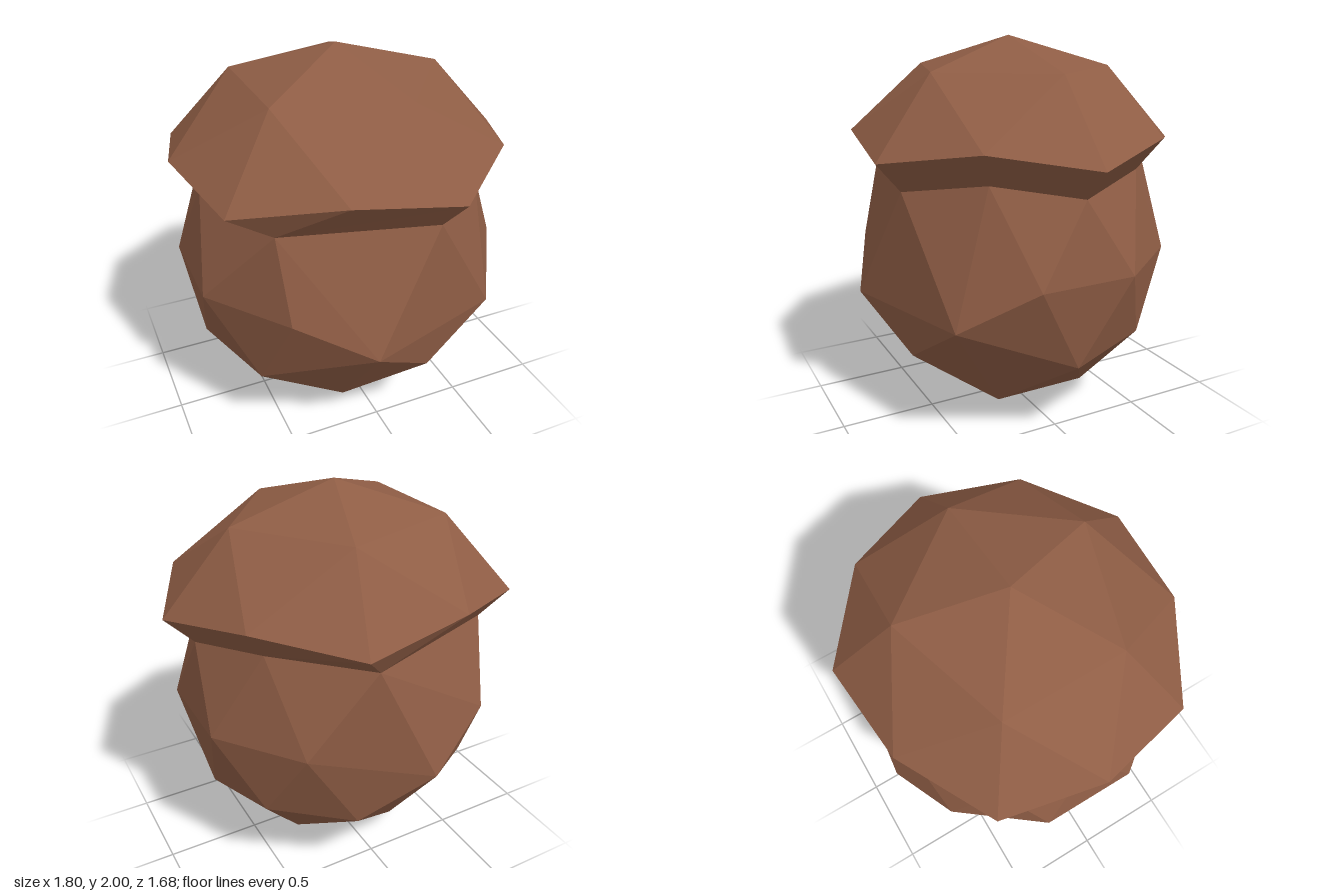
import * as THREE from 'three';

const OFFSET_X = -0.03; // the poles sit slightly off centre
const DEPTH = 0.949;    // slightly flattened front to back
const STEP = 36;

// Point on an elliptical ring; angles run from +x towards +z
function ringPoint(angle, radius, y) {
  const a = THREE.MathUtils.degToRad(angle);
  return new THREE.Vector3(OFFSET_X + radius * Math.cos(a), y, DEPTH * radius * Math.sin(a));
}

// Returns a lookup by angle; "even" angles are multiples of 72, moved holds welded corners
function ring(even, odd, moved = {}) {
  return (angle) => {
    const a = ((angle % 360) + 360) % 360;
    if (moved[a]) return moved[a];
    return ringPoint(a, ...(a % 72 === 0 ? even : odd));
  };
}

// Flat-shaded mesh from triangles, dropping those collapsed by welded corners
function facetMesh(name, triangles, material) {
  const points = triangles
    .filter(([a, b, c]) => !a.equals(b) && !b.equals(c) && !c.equals(a))
    .flat();
  const geometry = new THREE.BufferGeometry().setFromPoints(points);
  geometry.computeVertexNormals();
  const mesh = new THREE.Mesh(geometry, material);
  mesh.name = name;
  return mesh;
}

export function createModel() {
  const brown = new THREE.MeshStandardMaterial({ color: 0x8f5d45 });
  brown.name = 'acorn brown';
  brown.flatShading = true;

  // Welded corners that make the body slightly irregular
  const v = (x, y, z) => new THREE.Vector3(x, y, z);
  const neckFront = v(-0.57, 1.33, 0.56);
  const neckBack = v(0.15, 1.33, -0.755);
  const bellyFront = v(-0.16, 0.68, 0.825);
  const bellyRight = v(0.59, 0.68, 0.6);
  const bellyBack = v(-0.16, 0.68, -0.825);

  // Rings from top to bottom
  const top = v(OFFSET_X, 2, 0);
  const crown = ring([0.565, 1.84], [0.565, 1.84]);
  const rim = ring([0.928, 1.445], [0.87, 1.525]);
  const neck = ring([0.78, 1.29], [0.735, 1.36],
    { 108: neckFront, 144: neckFront, 252: neckBack, 288: neckBack });
  const middle = ring([0.87, 0.89], [0.87, 0.89],
    { 54: bellyRight, 90: bellyFront, 270: bellyBack });
  const belly = ring([0.745, 0.425], [0.777, 0.49],
    { 36: bellyRight, 108: bellyFront, 252: bellyBack });
  const base = ring([0.457, 0.135], [0.457, 0.135]);
  const bottom = v(OFFSET_X, 0, 0);

  const capFaces = [], rimFaces = [], bodyFaces = [];
  for (let t = 0; t < 360; t += 72) {
    // Domed cap
    capFaces.push(
      [top, crown(t + 72), crown(t)],
      [crown(t), crown(t + 72), rim(t + 36)],
      [crown(t), rim(t + 36), rim(t)],
      [crown(t), rim(t), rim(t - 36)]);
    // Upper body
    bodyFaces.push(
      [neck(t), neck(t + 36), middle(t + 18)],
      [neck(t + 36), neck(t + 72), middle(t + 54)],
      [neck(t + 36), middle(t + 54), middle(t + 18)],
      [neck(t), middle(t + 18), middle(t - 18)]);
    // Lower body
    bodyFaces.push(
      [middle(t + 18), middle(t + 54), belly(t + 36)],
      [middle(t + 18), belly(t + 36), belly(t)],
      [middle(t - 18), belly(t), belly(t - 36)],
      [middle(t - 18), middle(t + 18), belly(t)]);
    // Rounded base
    bodyFaces.push(
      [belly(t - 36), belly(t), base(t - 36)],
      [belly(t), belly(t + 36), base(t + 36)],
      [belly(t), base(t + 36), base(t - 36)],
      [base(t - 36), base(t + 36), bottom]);
  }

  // Overhanging underside of the cap
  for (let s = 0; s < 360; s += STEP) {
    rimFaces.push(
      [rim(s), rim(s + STEP), neck(s + STEP)],
      [rim(s), neck(s + STEP), neck(s)]);
  }

  const model = new THREE.Group();
  model.name = 'acorn';
  model.add(
    facetMesh('cap', capFaces, brown),
    facetMesh('capUnderside', rimFaces, brown),
    facetMesh('nutBody', bodyFaces, brown));
  return model;
}
